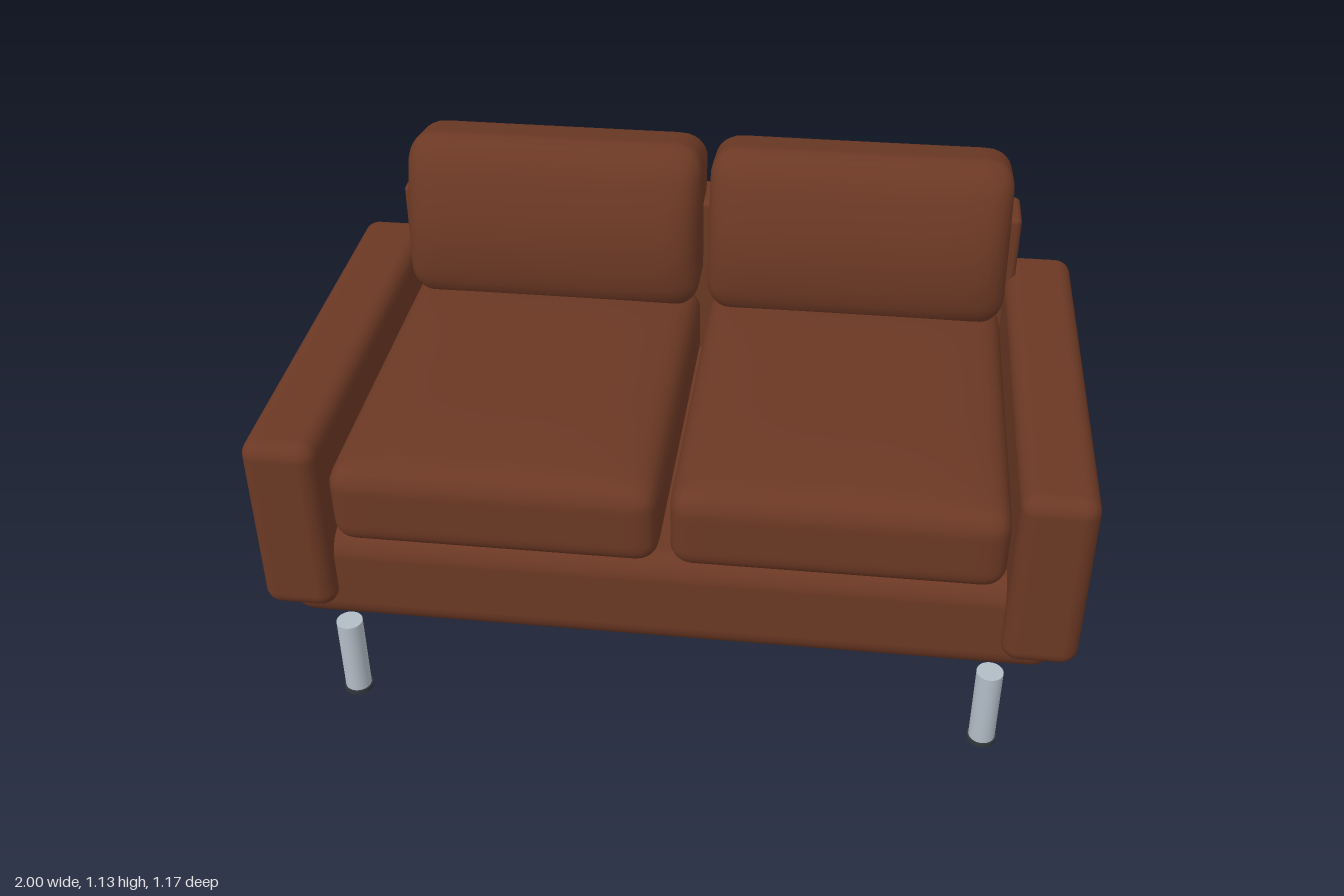
import * as THREE from 'three';
import { mergeVertices } from 'three/addons/utils/BufferGeometryUtils.js';
import { RoundedBoxGeometry } from 'three/addons/geometries/RoundedBoxGeometry.js';

const leather = new THREE.MeshStandardMaterial({ color: 0x6b3824 });
leather.name = 'brown leather';
const steel = new THREE.MeshStandardMaterial({ color: 0xb2bcc6 });
steel.name = 'brushed steel';
const rubber = new THREE.MeshStandardMaterial({ color: 0x30363a });
rubber.name = 'dark rubber';

const lerp = THREE.MathUtils.lerp;

function part(name, geometry, material, x = 0, y = 0, z = 0) {
  const mesh = new THREE.Mesh(geometry, material);
  mesh.name = name;
  mesh.position.set(x, y, z);
  return mesh;
}

// Rounded block given by its x, y and z ranges
function block(name, [x0, x1], [y0, y1], [z0, z1], radius) {
  const geometry = new RoundedBoxGeometry(x1 - x0, y1 - y0, z1 - z0, 5, radius);
  return part(name, geometry, leather, (x0 + x1) / 2, (y0 + y1) / 2, (z0 + z1) / 2);
}

// Finely divided rounded box, denser at its edges; shape(p, n) then reshapes
// each point, n being its place in the box from -1 to 1
function cushionGeometry(size, radius, shape) {
  const geometry = new THREE.BoxGeometry(2, 2, 2, 24, 24, 24);
  geometry.deleteAttribute('uv');
  geometry.deleteAttribute('normal');
  const half = size.clone().multiplyScalar(0.5);
  const inner = half.clone().subScalar(radius);
  const pos = geometry.attributes.position;
  const p = new THREE.Vector3(), core = new THREE.Vector3();
  for (let i = 0; i < pos.count; i++) {
    p.fromBufferAttribute(pos, i);
    p.set(...p.toArray().map((v) => Math.sin(v * Math.PI / 2))).multiply(half);
    core.copy(p).clamp(inner.clone().negate(), inner);
    p.sub(core).setLength(radius).add(core);
    shape(p, p.clone().divide(half));
    pos.setXYZ(i, p.x, p.y, p.z);
  }
  const smooth = mergeVertices(geometry, 1e-5);
  smooth.computeVertexNormals();
  return smooth;
}

// Seat cushion with a gently crowned top
function seatCushionGeometry() {
  return cushionGeometry(new THREE.Vector3(0.8, 0.215, 0.99), 0.055, (p, n) => {
    const crown = (1 - n.x ** 4) * (1 - n.z ** 4);
    if (n.y > 0) p.y += 0.03 * crown * n.y;
  });
}

// Back cushion leaning backwards: full low front, overhanging rear, sloped top
function backCushionGeometry() {
  return cushionGeometry(new THREE.Vector3(0.8, 0.44, 0.31), 0.075, (p, n) => {
    const y = p.y + 0.91;
    const front = -0.26 - 1.1 * (y - 0.82) ** 2 - 0.02 * n.x ** 4;
    const back = -0.585 + 1.2 * Math.min(0, y - 1.04) ** 2;
    p.z = lerp(back, front, (n.z + 1) / 2);
    p.y = y;
    if (n.y > 0) p.y -= 0.2 * Math.max(0, -0.42 - p.z) * n.y;
  });
}

export function createModel() {
  const sofa = new THREE.Group();
  sofa.name = 'sofa';

  // Upholstered frame
  sofa.add(block('base', [-0.96, 0.96], [0.22, 0.487], [-0.52, 0.54], 0.065));
  sofa.add(block('backPanel', [-0.845, 0.845], [0.45, 0.952], [-0.57, -0.43], 0.015));

  const seatGeometry = seatCushionGeometry();
  const backGeometry = backCushionGeometry();
  const legGeometry = new THREE.CylinderGeometry(0.033, 0.033, 0.213, 28);
  const footGeometry = new THREE.CylinderGeometry(0.037, 0.037, 0.012, 28);

  for (const [side, s] of [['left', 1], ['right', -1]]) {
    // Arms
    const [near, far] = s > 0 ? [0.818, 1] : [-1, -0.818];
    sofa.add(block(`${side}Arm`, [near, far], [0.29, 0.782], [-0.56, 0.585], 0.042));

    // Loose cushions
    sofa.add(part(`${side}SeatCushion`, seatGeometry, leather, s * 0.413, 0.5885, 0.06));
    sofa.add(part(`${side}BackCushion`, backGeometry, leather, s * 0.411, 0, 0));

    // Legs with rubber feet
    for (const [end, z] of [['Front', 0.541], ['Back', -0.515]]) {
      const leg = new THREE.Group();
      leg.name = `${side}${end}Leg`;
      leg.position.set(s * 0.803, 0, z);
      leg.add(part('legTube', legGeometry, steel, 0, 0.1185, 0));
      leg.add(part('foot', footGeometry, rubber, 0, 0.006, 0));
      sofa.add(leg);
    }
  }
  return sofa;
}
